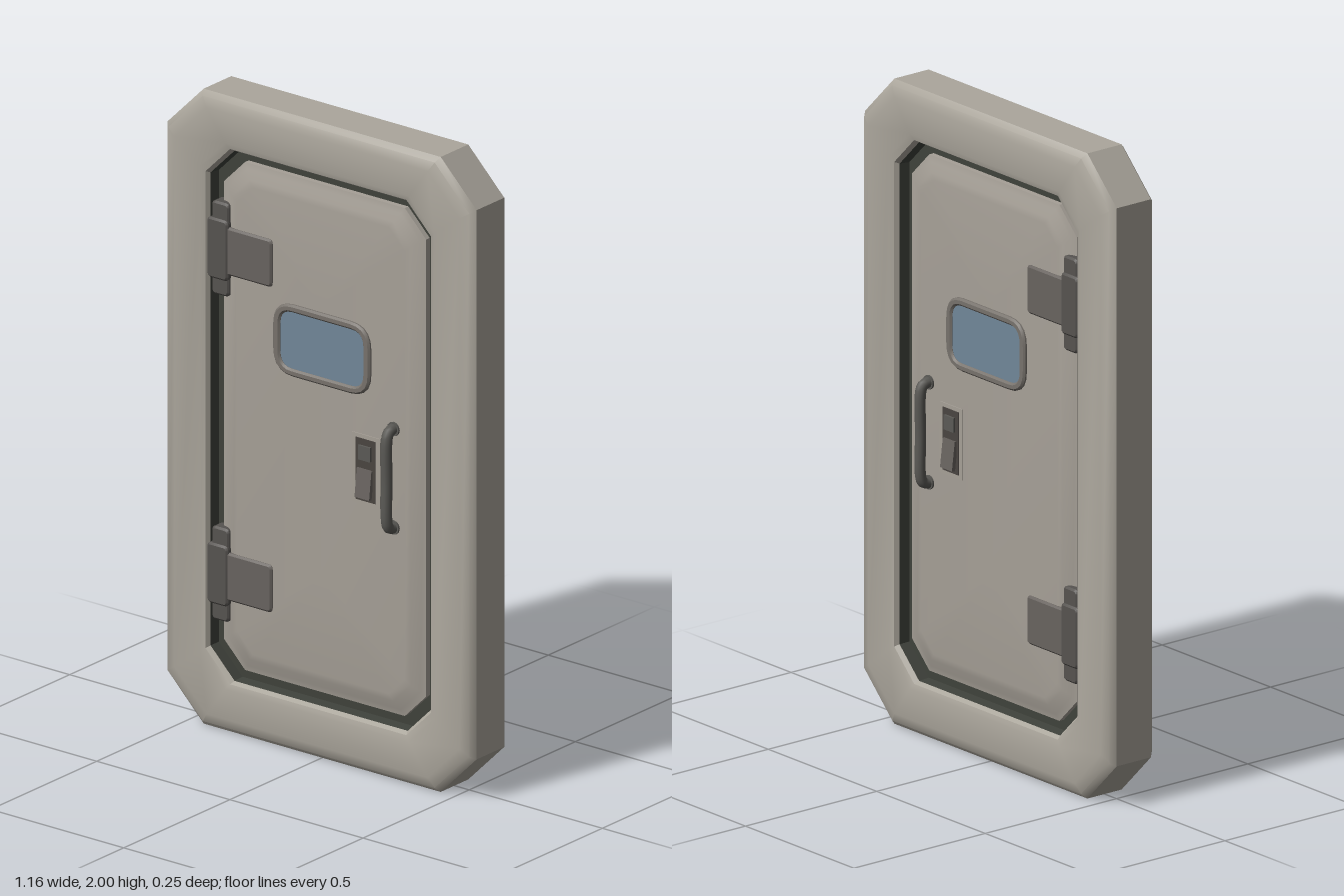
import * as THREE from 'three';
import { toCreasedNormals } from 'three/addons/utils/BufferGeometryUtils.js';

const paint = (name, color) => {
  const m = new THREE.MeshStandardMaterial({ color });
  m.name = name;
  return m;
};

// Eight corners of a chamfered rectangle, inset by d from the outer door outline
function octagon(d, c, z) {
  const w = 0.58 - d, b = d, t = 2 - d;
  return [[w, b + c], [w, t - c], [w - c, t], [c - w, t], [-w, t - c], [-w, b + c], [c - w, b], [w - c, b]]
    .map(([x, y]) => [x, y, z]);
}

// Skin between successive octagons, each given as [inset, chamfer, z]
function loft(rings, crease = 0.6) {
  const loops = rings.map((r) => octagon(...r));
  const pos = [];
  for (let i = 0; i < loops.length - 1; i++) {
    const a = loops[i], b = loops[i + 1];
    for (let j = 0; j < 8; j++) {
      const k = (j + 1) % 8;
      pos.push(...a[j], ...b[j], ...b[k], ...a[j], ...b[k], ...a[k]);
    }
  }
  const g = new THREE.BufferGeometry();
  g.setAttribute('position', new THREE.Float32BufferAttribute(pos, 3));
  return toCreasedNormals(g, crease);
}

// Adds the back half of a profile as the mirror of the front half
const mirrored = (p) => [...p, ...p.slice().reverse().map(([d, c, z]) => [d, c, -z])];

function roundRect(w, h, r, Type = THREE.Shape) {
  const s = new Type(), x = w / 2, y = h / 2;
  s.moveTo(-x + r, -y);
  s.lineTo(x - r, -y); s.quadraticCurveTo(x, -y, x, -y + r);
  s.lineTo(x, y - r); s.quadraticCurveTo(x, y, x - r, y);
  s.lineTo(-x + r, y); s.quadraticCurveTo(-x, y, -x, y - r);
  s.lineTo(-x, -y + r); s.quadraticCurveTo(-x, -y, -x + r, -y);
  return s;
}

// Extrusion reaching z = +half and z = -half, with small bevelled edges
function slab(shape, half, bevel = 0.006) {
  const g = new THREE.ExtrudeGeometry(shape, {
    depth: 2 * (half - bevel), bevelEnabled: true, bevelSize: bevel, bevelOffset: -bevel,
    bevelThickness: bevel, bevelSegments: 1, curveSegments: 5,
  });
  return toCreasedNormals(g.translate(0, 0, bevel - half), 0.6);
}

export function createModel() {
  const model = new THREE.Group();
  model.name = 'bulkheadDoor';
  const shell = paint('warm grey shell', 0xaba69c);
  const panel = paint('warm grey panel', 0xa6a097);
  const seal = paint('dark seal', 0x3f423b);
  const hinge = paint('hinge metal', 0x68635f);
  const barrel = paint('dark hinge metal', 0x565350);
  const trim = paint('window trim', 0x77726c);
  const glass = paint('blue glass', 0x718799);
  const metal = paint('handle metal', 0x5b5a56);
  const dark = paint('latch recess', 0x4a4541);

  const add = (name, geo, mat, x = 0, y = 0, z = 0, parent = model) => {
    const m = new THREE.Mesh(geo, mat);
    m.name = name;
    m.position.set(x, y, z);
    parent.add(m);
    return m;
  };

  // Thick outer frame with softened edges
  add('frame', loft(mirrored([
    [0.165, 0.09, 0.07], [0.157, 0.092, 0.084], [0.14, 0.095, 0.09],
    [0.045, 0.12, 0.09], [0.015, 0.13, 0.081], [0, 0.135, 0.065],
  ])), shell);

  // Dark lining and rubber seal in the opening
  add('seal', loft([
    [0.165, 0.09, -0.07], [0.168, 0.089, -0.035], [0.23, 0.07, -0.035],
    [0.23, 0.07, 0.035], [0.168, 0.089, 0.035], [0.165, 0.09, 0.07],
  ]), seal);

  // Door leaf with a raised field on both faces
  add('doorLeaf', loft(mirrored([
    [0.58, 0, 0.072], [0.265, 0.06, 0.072], [0.245, 0.065, 0.069],
    [0.218, 0.075, 0.056], [0.2, 0.08, 0.052],
  ]), 0.5), panel);

  // Window, passing through the leaf
  const rim = roundRect(0.365, 0.226, 0.075);
  rim.holes.push(roundRect(0.312, 0.178, 0.045, THREE.Path));
  add('windowRim', slab(rim, 0.083), trim, 0.008, 1.293);
  add('windowGlass', slab(roundRect(0.325, 0.19, 0.045), 0.076, 0.002), glass, 0.008, 1.293);

  // Hinges, visible on both faces
  for (const [name, y] of [['upperHinge', 1.515], ['lowerHinge', 0.49]]) {
    const g = new THREE.Group();
    g.name = name;
    g.position.y = y;
    model.add(g);
    add('hingeLeaf', slab(roundRect(0.2, 0.15, 0.015), 0.08), hinge, -0.28, 0, 0, g);
    add('hingeBlock', slab(roundRect(0.078, 0.19, 0.015), 0.084), barrel, -0.381, 0, 0, g);
    for (const s of [1, -1]) {
      add('hingeKnuckle', slab(roundRect(0.065, 0.085, 0.015), 0.076), barrel, -0.376, s * 0.104, 0, g);
    }
  }

  // Handle and latch on each face
  for (const s of [1, -1]) {
    const side = new THREE.Group();
    side.name = s > 0 ? 'frontHardware' : 'backHardware';
    model.add(side);

    const path = new THREE.CatmullRomCurve3([
      [0.795, 0.06], [0.795, 0.085], [0.802, 0.099], [0.822, 0.106],
      [0.95, 0.106], [1.078, 0.106], [1.098, 0.099], [1.105, 0.085], [1.105, 0.06],
    ].map(([y, z]) => new THREE.Vector3(0.275, y, s * z)), false, 'centripetal');
    add('handle', new THREE.TubeGeometry(path, 40, 0.017, 10), metal, 0, 0, 0, side);
    for (const y of [0.795, 1.105]) {
      const foot = add('handleFoot', new THREE.CylinderGeometry(0.022, 0.022, 0.008, 12), metal, 0.275, y, s * 0.074, side);
      foot.rotation.x = Math.PI / 2;
    }

    // Latch: surround, recess and tilted paddle
    add('latchSurround', new THREE.BoxGeometry(0.105, 0.22, 0.006), panel, 0.172, 0.95, s * 0.072, side);
    add('latchRecess', new THREE.BoxGeometry(0.074, 0.195, 0.006), dark, 0.172, 0.95, s * 0.0745, side);
    const lower = add('latchPaddle', new THREE.BoxGeometry(0.055, 0.09, 0.012), hinge, 0.172, 0.91, s * 0.083, side);
    lower.rotation.x = -s * 0.12;
    add('latchCatch', new THREE.BoxGeometry(0.045, 0.045, 0.012), metal, 0.172, 1.005, s * 0.079, side);
  }
  return model;
}
